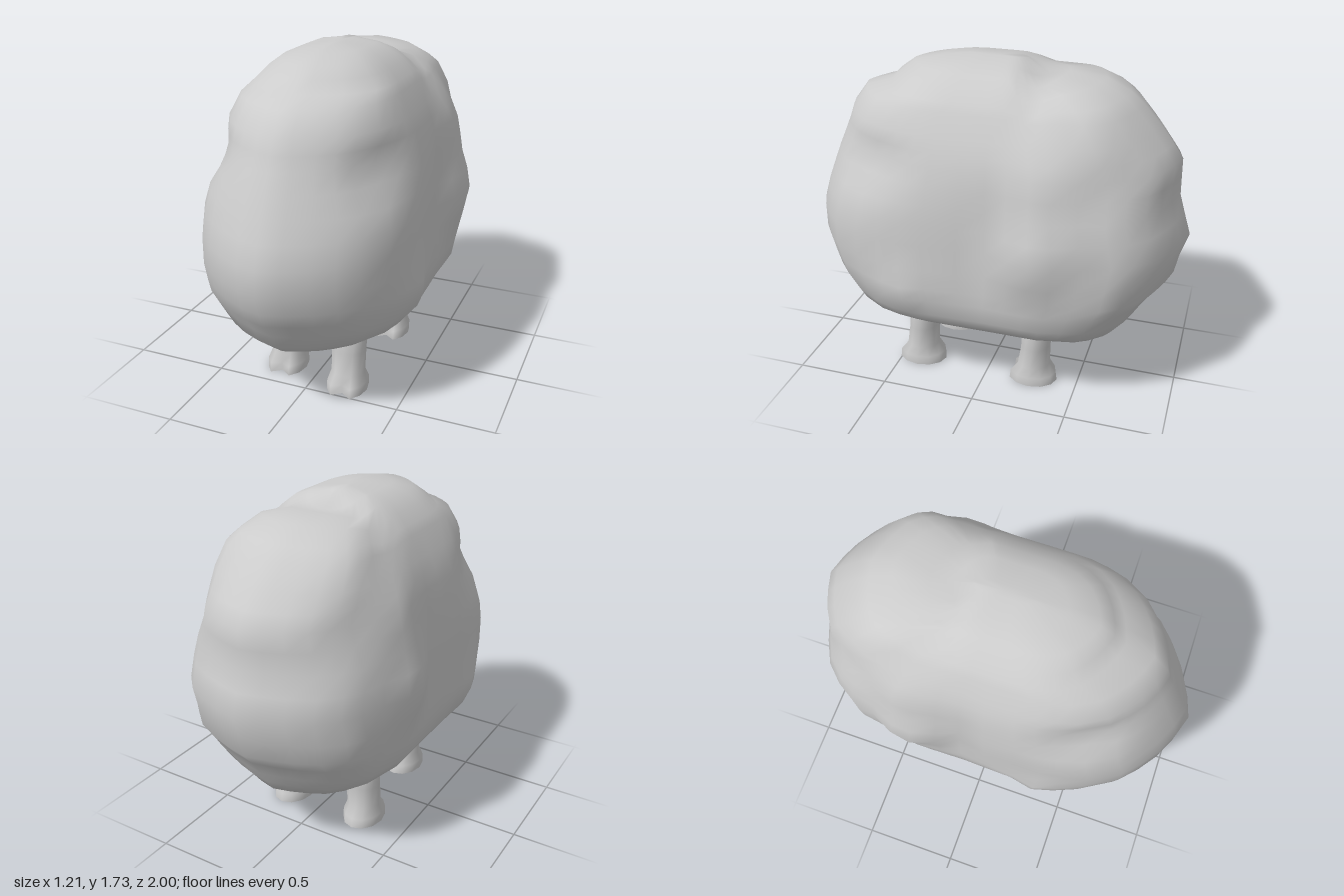
import * as THREE from 'three';

// Skin a list of equal-length closed rings, bottom to top, and close both ends.
function loft(rings, flatStart = false) {
  const n = rings[0].length;
  const pos = rings.flat(2);
  const index = [];
  for (let i = 0; i < rings.length - 1; i++) {
    for (let j = 0; j < n; j++) {
      const a = i * n + j, b = i * n + (j + 1) % n;
      const c = a + n, d = b + n;
      index.push(a, c, b, b, c, d);
    }
  }
  const centre = (ring) => [0, 1, 2].map((k) => ring.reduce((s, p) => s + p[k], 0) / n);
  let first = 0;
  if (flatStart) {
    first = pos.length / 3;
    pos.push(...rings[0].flat());
  }
  const c0 = pos.length / 3;
  pos.push(...centre(rings[0]), ...centre(rings[rings.length - 1]));
  const last = (rings.length - 1) * n;
  for (let j = 0; j < n; j++) {
    const k = (j + 1) % n;
    index.push(c0, first + j, first + k, c0 + 1, last + k, last + j);
  }
  const g = new THREE.BufferGeometry();
  g.setAttribute('position', new THREE.Float32BufferAttribute(pos, 3));
  g.setIndex(index);
  g.computeVertexNormals();
  return g;
}

// Plan outline of one side, back to front: share of half width, share of length
const PLAN = [
  [0, -1], [0.22, -0.97], [0.42, -0.93], [0.64, -0.87], [0.8, -0.78], [0.9, -0.69], [0.95, -0.56],
  [1, -0.43], [1, -0.32], [1, -0.2], [1, -0.08], [1, 0.06], [1, 0.24], [1, 0.36], [0.97, 0.48],
  [0.91, 0.61], [0.75, 0.76], [0.59, 0.84], [0.41, 0.91], [0.2, 0.965],
];
const OUTLINE = [...PLAN, [0, 1], ...PLAN.slice(1).reverse().map(([u, v]) => [-u, v])];

// Body levels: height, height at the back end, half width, front z, back z
const LEVELS = [
  [0.232, 0.232, 0.005, 0.2, -0.08],
  [0.258, 0.258, 0.1, 0.44, -0.35],
  [0.3, 0.3, 0.22, 0.64, -0.55],
  [0.36, 0.36, 0.385, 0.75, -0.73],
  [0.43, 0.43, 0.475, 0.84, -0.78],
  [0.5, 0.5, 0.52, 0.865, -0.82],
  [0.59, 0.59, 0.53, 0.94, -0.88],
  [0.66, 0.66, 0.535, 0.965, -0.94],
  [0.76, 0.76, 0.535, 1, -0.96],
  [0.89, 0.89, 0.535, 1, -1],
  [1.0, 1.0, 0.53, 0.965, -0.965],
  [1.1, 1.1, 0.52, 0.925, -0.935],
  [1.2, 1.2, 0.505, 0.885, -0.932],
  [1.29, 1.29, 0.485, 0.845, -0.93],
  [1.36, 1.36, 0.46, 0.815, -0.88],
  [1.43, 1.44, 0.43, 0.79, -0.82],
  [1.535, 1.54, 0.375, 0.71, -0.73],
  [1.575, 1.6, 0.345, 0.57, -0.66],
  [1.63, 1.66, 0.295, 0.51, -0.54],
  [1.68, 1.68, 0.23, 0.44, -0.36],
  [1.712, 1.695, 0.15, 0.29, -0.25],
  [1.73, 1.73, 0.03, 0.15, -0.15],
];

// Soft swellings and hollows of the flanks: z, y, z radius, y radius, amount
const BUMPS = [
  [0.36, 0.62, 0.12, 0.12, 0.04],
  [-0.33, 0.9, 0.17, 0.17, 0.07],
  [-0.35, 1.27, 0.15, 0.15, 0.025],
  [-0.08, 0.95, 0.1, 0.3, -0.04],
  [0.58, 1.26, 0.22, 0.12, -0.085],
  [-0.72, 1.26, 0.18, 0.12, -0.06],
  [-0.62, 1.55, 0.16, 0.1, 0.05],
  [-0.7, 0.72, 0.12, 0.12, 0.02],
];

const bell = (d, r) => Math.exp(-((d / r) ** 2));

function bodyRing([y, yBack, w, zf, zb]) {
  return OUTLINE.map(([u, v]) => {
    const z = v > 0 ? v * zf : -v * zb;
    const h = THREE.MathUtils.lerp(y, yBack, Math.max(0, -v) ** 3);
    const swell = BUMPS.reduce((s, [bz, by, rz, ry, amount]) =>
      s + amount * bell(z - bz, rz) * bell(h - by, ry), 0);
    // Crease across the back, between shoulders and rump
    const crease = 0.04 * bell(z + 0.25, 0.07) * THREE.MathUtils.smoothstep(h, 1.4, 1.65);
    return [u * (w + swell * Math.min(1, w / 0.4)), h - crease, z];
  });
}

// Leg levels: y, half width, half depth, backward shift, depth of the split between the toes
const LEG_LEVELS = [
  [0, 0.105, 0.135, 0, 0.42],
  [0.05, 0.105, 0.128, 0, 0.35],
  [0.1, 0.088, 0.09, 0.005, 0.1],
  [0.22, 0.092, 0.08, 0.015, 0],
  [0.5, 0.102, 0.084, 0.03, 0],
];

function legRing([y, w, d, back, split]) {
  const ring = [];
  for (let j = 0; j < 12; j++) {
    const a = (j / 12) * Math.PI * 2;
    const notch = j === 3 ? 1 - split : 1;
    ring.push([Math.cos(a) * w, y, Math.sin(a) * d * notch - back]);
  }
  return ring;
}

export function createModel() {
  const model = new THREE.Group();
  const material = new THREE.MeshStandardMaterial({ color: 0xcccccc });

  // Woolly body
  const body = new THREE.Mesh(loft(LEVELS.map(bodyRing)), material);
  body.name = 'body';
  model.add(body);

  // Four slightly staggered legs with split hooves
  const legGeometry = loft(LEG_LEVELS.map(legRing), true);
  const legs = {
    frontLeftLeg: [0.195, 0.39],
    frontRightLeg: [-0.185, 0.31],
    backLeftLeg: [0.205, -0.255],
    backRightLeg: [-0.245, -0.255],
  };
  for (const [name, [x, z]] of Object.entries(legs)) {
    const leg = new THREE.Mesh(legGeometry, material);
    leg.name = name;
    leg.position.set(x, 0, z);
    model.add(leg);
  }
  return model;
}
